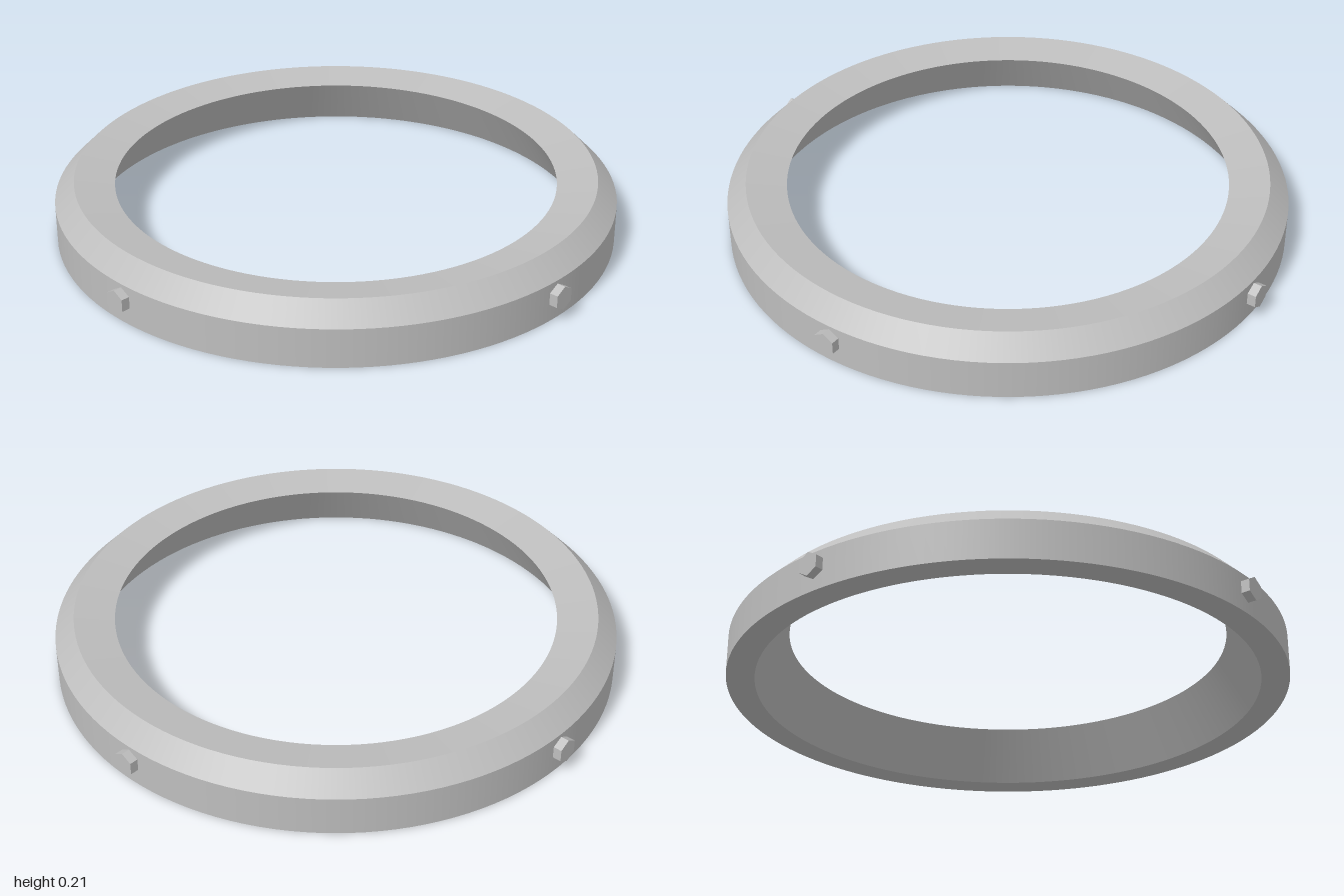
import * as THREE from 'three';

const steel = new THREE.MeshStandardMaterial({ color: 0xbebebe });
steel.name = 'steel grey';

// Ring section as [radius, height], walked outside up, over the top and down the inside
const section = [
  ['outerWall', 1, 0],
  ['chamfer', 1, 0.14],
  ['dishedTop', 0.93, 0.21],
  ['taperedBore', 0.787, 0.186],
  ['underside', 0.9, 0],
];

export function createModel() {
  const model = new THREE.Group();
  model.name = 'clampRing';

  // One lathed band per section edge keeps the edges sharp and the faces round
  section.forEach(([name, r, y], i) => {
    const [, r2, y2] = section[(i + 1) % section.length];
    const points = [new THREE.Vector2(r, y), new THREE.Vector2(r2, y2)];
    const band = new THREE.Mesh(new THREE.LatheGeometry(points, 128), steel);
    band.name = name;
    model.add(band);
  });

  // Four hexagonal bolt heads, points up, set radially on the diagonals
  const length = 0.07;
  const hex = new THREE.CylinderGeometry(0.043, 0.043, length, 6)
    .rotateX(Math.PI / 2)
    .translate(0, 0.085, 1.03 - length / 2)
    .toNonIndexed();
  hex.computeVertexNormals();
  for (let i = 0; i < 4; i++) {
    const bolt = new THREE.Mesh(hex, steel);
    bolt.name = 'boltHead' + (i + 1);
    bolt.rotation.y = Math.PI / 4 + (i * Math.PI) / 2;
    model.add(bolt);
  }
  return model;
}
